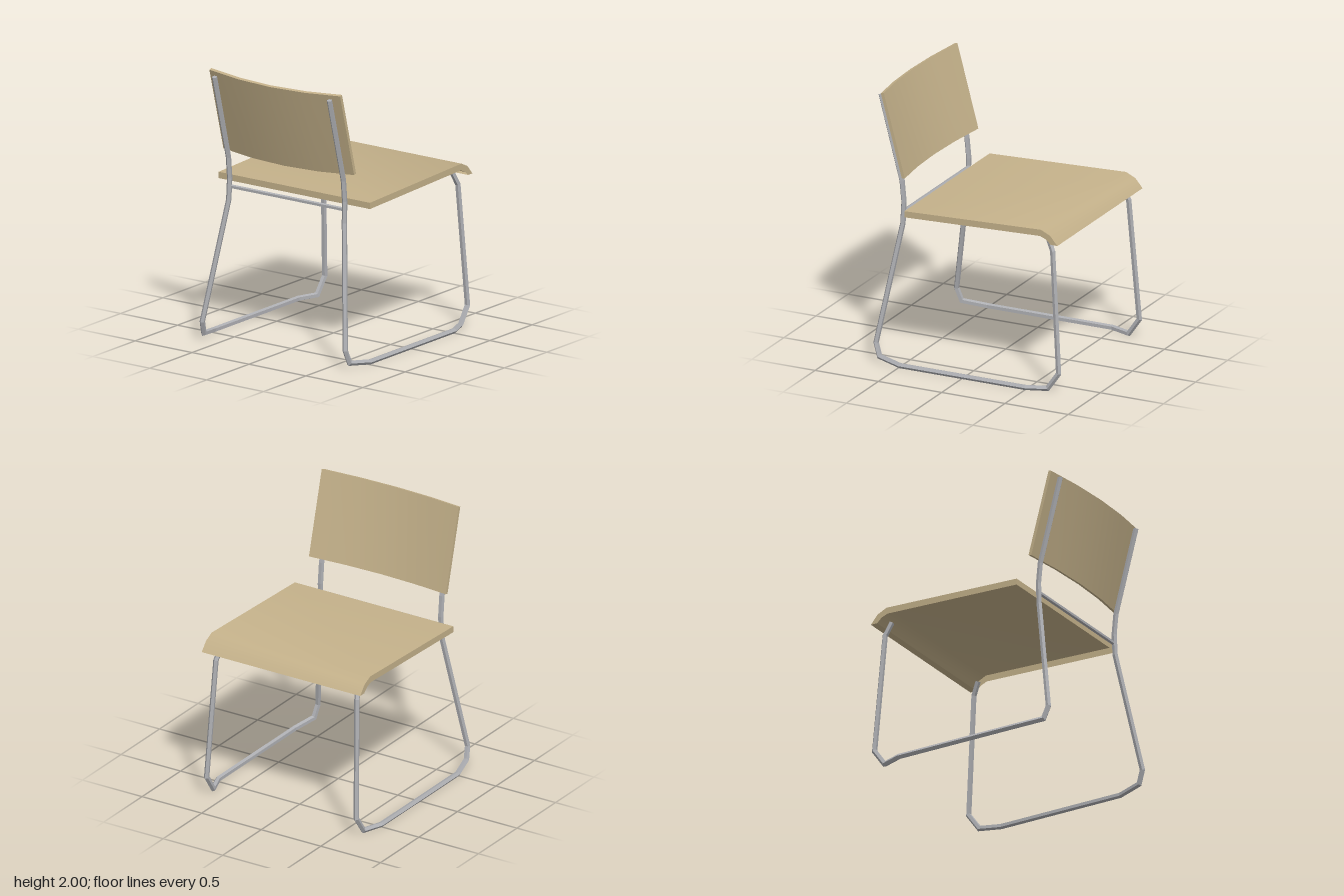
import * as THREE from 'three';
import { toCreasedNormals } from 'three/addons/utils/BufferGeometryUtils.js';

// Double-sided, since the seat is an open shell seen from below
const wood = new THREE.MeshStandardMaterial({ color: 0xc4b18a, side: THREE.DoubleSide });
wood.name = 'wood';
const steel = new THREE.MeshStandardMaterial({ color: 0xaeafb3 });
steel.name = 'steel';

function fromTriangles(corners) {
  const g = new THREE.BufferGeometry();
  g.setAttribute('position', new THREE.Float32BufferAttribute(corners.flatMap((p) => p.toArray()), 3));
  g.computeVertexNormals();
  return g;
}

// Sweeps a five-sided rod through the points with mitred corners.
function rodGeometry(points, radius, sides = 5) {
  const pts = points.map((p) => new THREE.Vector3(...p));
  const last = pts.length - 1;
  const dirs = pts.slice(1).map((p, i) => p.clone().sub(pts[i]).normalize());
  const side = new THREE.Vector3(1, 0, 0);
  if (Math.abs(dirs[0].x) > 0.9) side.set(0, 1, 0);
  const u = side.addScaledVector(dirs[0], -side.dot(dirs[0])).normalize();
  const v = dirs[0].clone().cross(u);
  const rings = [[]];
  for (let k = 0; k < sides; k++) {
    const a = Math.PI / 2 + (k / sides) * Math.PI * 2;
    rings[0].push(pts[0].clone().addScaledVector(u, radius * Math.cos(a)).addScaledVector(v, radius * Math.sin(a)));
  }
  for (let i = 1; i <= last; i++) {
    const d = dirs[i - 1];
    const normal = d.clone().add(dirs[Math.min(i, last - 1)]).normalize();
    rings.push(rings[i - 1].map((q) => {
      const t = pts[i].clone().sub(q).dot(normal) / d.dot(normal);
      return q.clone().addScaledVector(d, t);
    }));
  }
  const out = [];
  for (let k = 0; k < sides; k++) {
    const n = (k + 1) % sides;
    for (let i = 0; i < last; i++) {
      out.push(rings[i][k], rings[i][n], rings[i + 1][n]);
      out.push(rings[i][k], rings[i + 1][n], rings[i + 1][k]);
    }
    out.push(pts[0], rings[0][n], rings[0][k]);
    out.push(pts[last], rings[last][k], rings[last][n]);
  }
  return fromTriangles(out);
}

// Sheet of the given half width that follows an open (z, y) profile
function sheetGeometry(profile, half) {
  const out = [];
  for (let i = 0; i + 1 < profile.length; i++) {
    const [a, b] = [profile[i], profile[i + 1]];
    const at = ([z, y], x) => new THREE.Vector3(x, y, z);
    out.push(at(a, -half), at(b, -half), at(b, half));
    out.push(at(a, -half), at(b, half), at(a, half));
  }
  return toCreasedNormals(fromTriangles(out), 0.6);
}

const toShape = (outline) => new THREE.Shape(outline.map(([x, y]) => new THREE.Vector2(x, y)));

export function createModel() {
  const chair = new THREE.Group();
  chair.name = 'chair';
  const add = (name, geometry, material) => {
    const mesh = new THREE.Mesh(geometry, material);
    mesh.name = name;
    chair.add(mesh);
    return mesh;
  };

  // Seat: top with a rolled-down front lip and a back rim, open underneath
  const seatTop = [
    [-0.692, 1.114], [-0.744, 1.114], [-0.688, 1.18], [-0.615, 1.215], [0.465, 1.176], [0.465, 1.13],
  ];
  const seatUnder = [[-0.607, 1.167], [-0.655, 1.148]];
  add('seat', sheetGeometry(seatTop, 0.665), wood);

  // Seat side rims
  for (const [name, s] of [['leftSeatRim', 1], ['rightSeatRim', -1]]) {
    const rim = new THREE.ShapeGeometry(toShape([...seatTop, ...seatUnder]));
    rim.rotateY(-Math.PI / 2).translate(0.665 * s, 0, 0);
    add(name, rim, wood);
  }

  // Backrest: gently bowed panel, leaning back
  const bow = [[-0.574, 0], [-0.29, -0.045], [0, -0.061], [0.29, -0.045], [0.574, 0]];
  const outline = [...bow, ...bow.map(([x, y]) => [x, y - 0.024]).reverse()];
  const panel = new THREE.ExtrudeGeometry(toShape(outline), { depth: 0.637, bevelEnabled: false });
  const backrest = add('backrest', toCreasedNormals(panel, 0.6), wood);
  backrest.rotation.x = -1.307;
  backrest.position.set(0, 1.385, 0.507);

  // One continuous bent rod per side: back post, rear leg, skid, front leg
  const path = [
    [0.505, 1.96, 0.73], [0.505, 1.335, 0.564], [0.505, 1.18, 0.549], [0.508, 1.02, 0.556],
    [0.628, 0.14, 0.707], [0.64, 0.045, 0.673], [0.685, 0.021, 0.49], [0.685, 0.021, -0.5],
    [0.631, 0.021, -0.65], [0.628, 0.145, -0.737], [0.592, 1.04, -0.672], [0.575, 1.135, -0.627],
  ];
  for (const [name, s] of [['leftFrame', 1], ['rightFrame', -1]]) {
    add(name, rodGeometry(path.map(([x, y, z]) => [x * s, y, z]), 0.02), steel);
  }

  // Crossbar joining the two back posts
  add('crossbar', rodGeometry([[0.505, 1.116, 0.544], [-0.505, 1.116, 0.544]], 0.015), steel);

  return chair;
}
